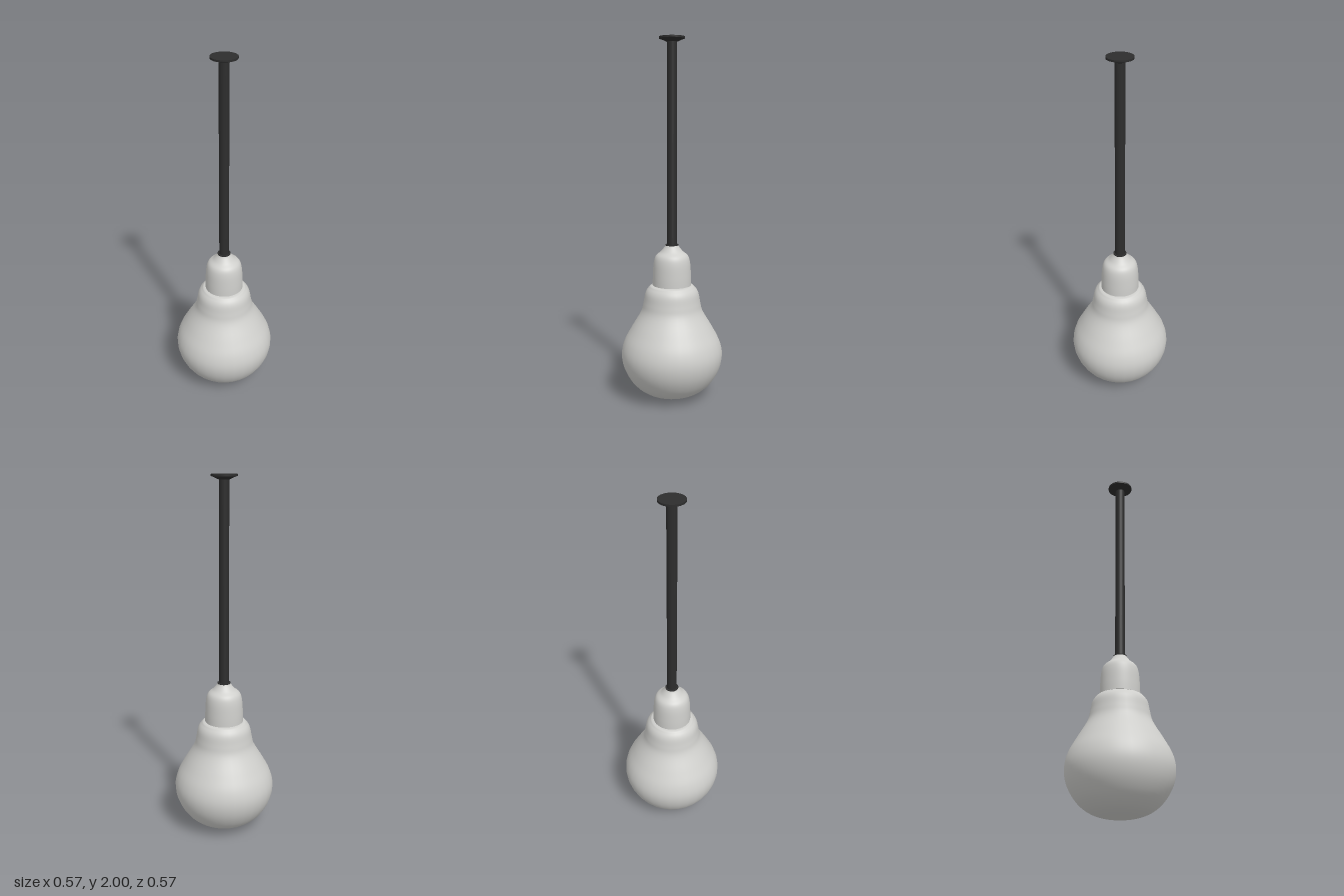
import * as THREE from 'three';

const black = new THREE.MeshStandardMaterial({ color: 0x2d2d2d });
black.name = 'black metal';
const grey = new THREE.MeshStandardMaterial({ color: 0xcfcfcc });
grey.name = 'pale grey';

// Profile points run from bottom to top as [radius, height].
const toPoints = (list) => list.map(([r, y]) => new THREE.Vector2(r, y));

function smoothProfile(list, divisions) {
  return new THREE.SplineCurve(toPoints(list)).getPoints(divisions)
    .map((p) => new THREE.Vector2(Math.max(p.x, 0), Math.max(p.y, 0)));
}

function addPart(group, name, geometry, material, y = 0) {
  const mesh = new THREE.Mesh(geometry, material);
  mesh.name = name;
  mesh.position.y = y;
  group.add(mesh);
}

export function createModel() {
  const group = new THREE.Group();
  group.name = 'pendantLamp';

  // Bulb: round body, shouldered neck, flattened underside
  const bulb = smoothProfile([
    [0, 0], [0.06, 0.006], [0.12, 0.019], [0.175, 0.045], [0.228, 0.093],
    [0.27, 0.167], [0.285, 0.245], [0.27, 0.32], [0.228, 0.4], [0.175, 0.49],
    [0.16, 0.545], [0.149, 0.6], [0.13, 0.63], [0.104, 0.643], [0, 0.645],
  ], 70);
  addPart(group, 'bulb', new THREE.LatheGeometry(bulb, 32), grey);

  // Socket: near-straight sides closing in a bell-shaped shoulder
  const socket = smoothProfile([
    [0.108, 0.645], [0.107, 0.7], [0.102, 0.77], [0.09, 0.81],
    [0.062, 0.835], [0.043, 0.858], [0.036, 0.87],
  ], 36);
  addPart(group, 'socket', new THREE.LatheGeometry(socket, 48), grey);
  const rim = toPoints([[0.09, 0.642], [0.108, 0.645]]);
  addPart(group, 'socketRim', new THREE.LatheGeometry(rim, 48), grey);

  // Collar where the rod enters the socket
  addPart(group, 'collar', new THREE.CylinderGeometry(0.037, 0.036, 0.008, 32), black, 0.87);

  // Rod and ceiling plate
  addPart(group, 'rod', new THREE.CylinderGeometry(0.027, 0.027, 1.12, 32), black, 1.43);
  addPart(group, 'plateTaper', new THREE.CylinderGeometry(0.066, 0.03, 0.016, 48), black, 1.982);
  addPart(group, 'ceilingPlate', new THREE.CylinderGeometry(0.07, 0.07, 0.01, 48), black, 1.995);

  return group;
}
